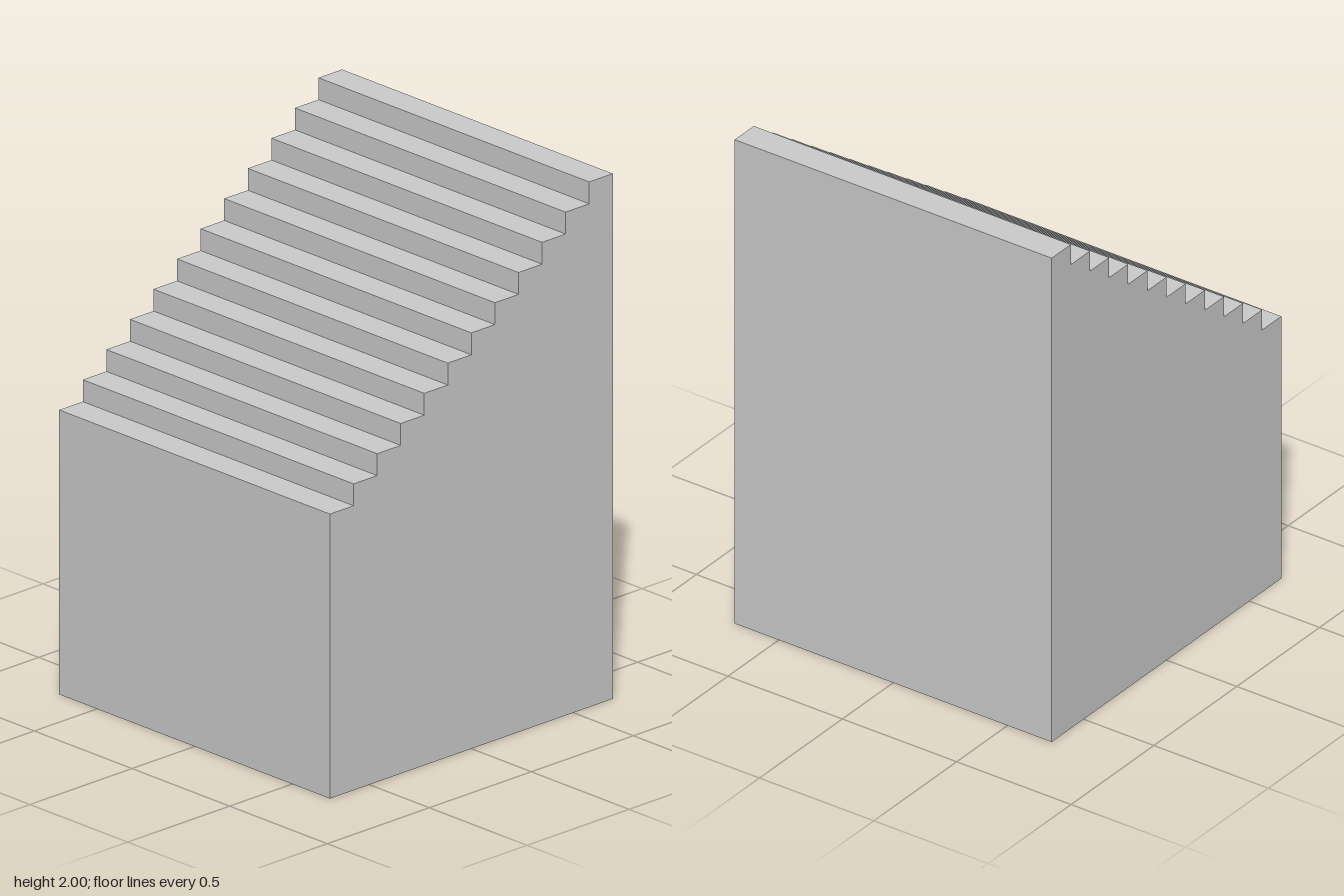
import * as THREE from 'three';

export function createModel() {
  const group = new THREE.Group();
  group.name = 'staircase';

  const steps = 12, half = 0.693, height = 2;
  const tread = (2 * half) / steps, rise = 1 / 12;
  const firstTop = height - (steps - 1) * rise;

  // Side profile: solid base with steps climbing towards +x
  const profile = new THREE.Shape();
  profile.moveTo(-half, 0);
  profile.lineTo(half, 0);
  for (let i = steps - 1; i >= 0; i--) {
    const y = firstTop + i * rise;
    profile.lineTo(-half + (i + 1) * tread, y);
    profile.lineTo(-half + i * tread, y);
  }
  profile.closePath();

  // Solid stair block, extruded across the full depth
  const geometry = new THREE.ExtrudeGeometry(profile, { depth: 2 * half, bevelEnabled: false });
  geometry.translate(0, 0, -half);
  const material = new THREE.MeshStandardMaterial({ color: 0xcccccc, flatShading: true });
  const stairs = new THREE.Mesh(geometry, material);
  stairs.name = 'stairBlock';
  group.add(stairs);

  return group;
}
